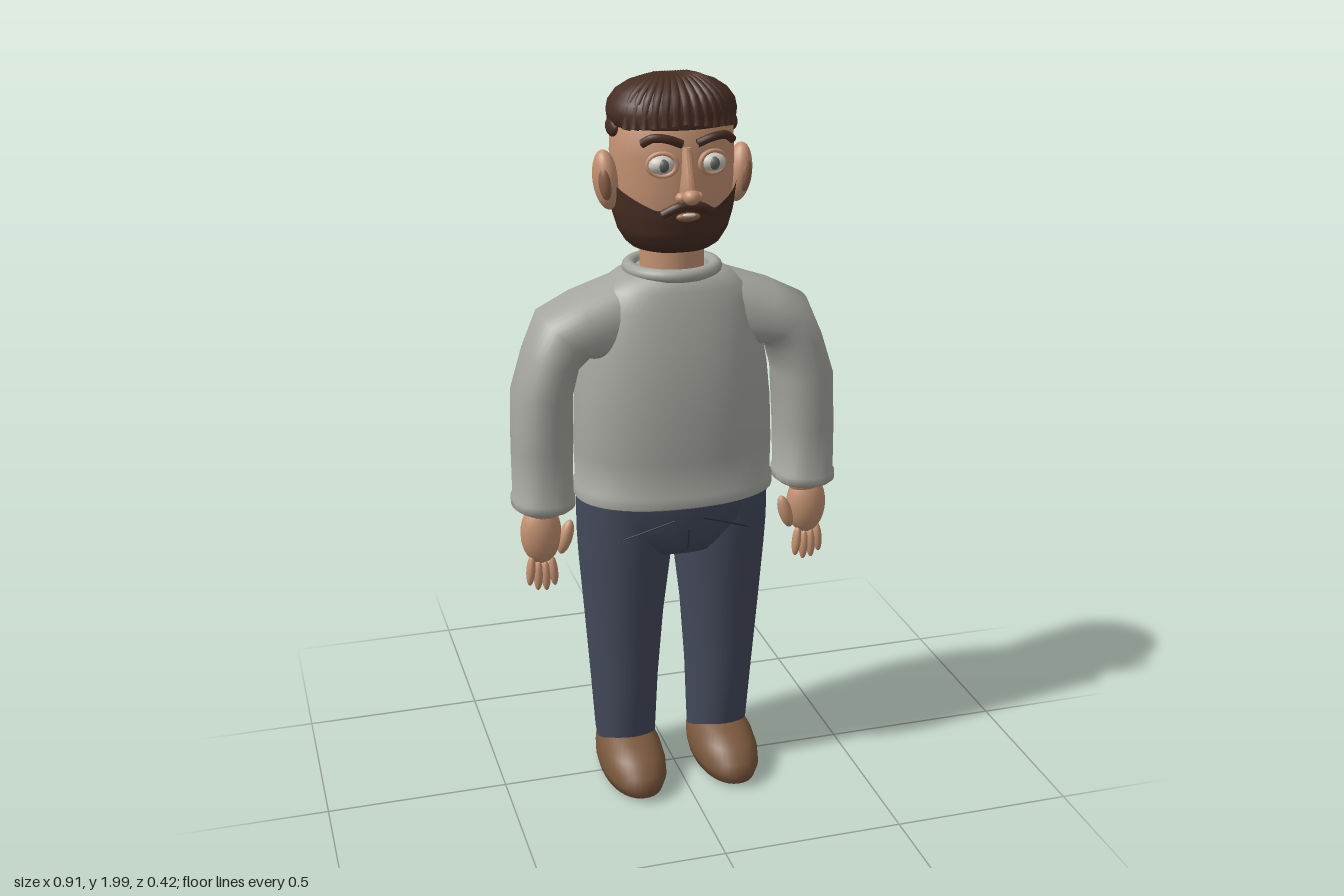
import * as THREE from 'three';
import { toCreasedNormals } from 'three/addons/utils/BufferGeometryUtils.js';

const mat = (name, color) => {
  const m = new THREE.MeshStandardMaterial({ color });
  m.name = name;
  return m;
};
const V = (x, y, z) => new THREE.Vector3(x, y, z);

// Closed skin over rings [xa, ya, xb, yb, zBack, zFront], listed from the bottom up
function loft(rings, power = 2, n = 40) {
  const pos = [], idx = [];
  const pw = (t) => Math.sign(t) * Math.abs(t) ** (2 / power);
  for (const [xa, ya, xb, yb, z0, z1] of rings) {
    for (let j = 0; j < n; j++) {
      const a = (j / n) * Math.PI * 2, c = pw(Math.cos(a)), s = pw(Math.sin(a));
      pos.push((xa + xb) / 2 + c * (xb - xa) / 2, (ya + yb) / 2 + c * (yb - ya) / 2, (z0 + z1) / 2 + s * (z1 - z0) / 2);
    }
  }
  for (let i = 0; i < rings.length - 1; i++) {
    for (let j = 0; j < n; j++) {
      const a = i * n + j, b = i * n + (j + 1) % n;
      idx.push(a, a + n, b, b, a + n, b + n);
    }
  }
  const last = rings.length - 1;
  for (const i of [0, last]) {
    const [xa, ya, xb, yb, z0, z1] = rings[i], k = pos.length / 3;
    pos.push((xa + xb) / 2, (ya + yb) / 2, (z0 + z1) / 2);
    for (let j = 0; j < n; j++) {
      const a = i * n + j, b = i * n + (j + 1) % n;
      idx.push(...(i === 0 ? [k, a, b] : [k, b, a]));
    }
  }
  const g = new THREE.BufferGeometry();
  g.setAttribute('position', new THREE.Float32BufferAttribute(pos, 3));
  g.setIndex(idx);
  return toCreasedNormals(g, 0.9);
}
// Symmetric ring: [y, halfWidth, zBack, zFront]
const sym = (rows) => rows.map(([y, w, b, f]) => [-w, y, w, y, b, f]);
const mirrorRings = (rings, s) => (s > 0 ? rings : rings.map(([xa, ya, xb, yb, b, f]) => [-xb, yb, -xa, ya, b, f]));

const HEAD = [
  [1.545, 0.09, -0.1, 0.06], [1.565, 0.115, -0.125, 0.095], [1.6, 0.137, -0.14, 0.112], [1.65, 0.152, -0.152, 0.12],
  [1.72, 0.161, -0.159, 0.122], [1.8, 0.163, -0.162, 0.122], [1.87, 0.16, -0.16, 0.118], [1.93, 0.13, -0.13, 0.085], [1.96, 0.07, -0.07, 0.04],
];
// Half width, centre and half depth of the head at a height
function headAt(y) {
  let i = 0;
  while (i < HEAD.length - 2 && HEAD[i + 1][0] < y) i++;
  const t = THREE.MathUtils.clamp((y - HEAD[i][0]) / (HEAD[i + 1][0] - HEAD[i][0]), 0, 1);
  const [, w, b, f] = HEAD[i].map((v, k) => v + (HEAD[i + 1][k] - v) * t);
  return { w, c: (b + f) / 2, d: (f - b) / 2 };
}
// Beard shell hugging the lower front of the head
function beardGeometry() {
  const g = new THREE.PlaneGeometry(1, 1, 48, 14), p = g.attributes.position;
  for (let i = 0; i < p.count; i++) {
    const a = p.getX(i) * 2 * 1.66, v = p.getY(i) + 0.5, k = Math.abs(a);
    const top = k < 0.5 ? 1.69 - 0.02 * k / 0.5 : 1.67 + 0.08 * (k - 0.5) / 1.16;
    const y = 1.54 + (top - 1.54) * v, h = headAt(y);
    const off = v < 0.01 ? -0.02 : 0.012;
    p.setXYZ(i, Math.sin(a) * (h.w + off * 0.7), y, h.c + Math.cos(a) * (h.d + off));
  }
  g.computeVertexNormals();
  return g;
}

export function createModel() {
  const root = new THREE.Group();
  const skin = mat('skin', 0xc49272), darkSkin = mat('dark skin', 0x8f6249), wool = mat('grey wool', 0xa5a59f);
  const denim = mat('navy denim', 0x444a5c), seam = mat('seam navy', 0x262a36), leather = mat('brown leather', 0x7a583c);
  const hair = mat('dark brown hair', 0x472d23), white = mat('eye white', 0xcfcac0), iris = mat('grey iris', 0x5f6662);
  hair.side = THREE.DoubleSide;

  const add = (name, geo, m, parent = root) => {
    const mesh = new THREE.Mesh(geo, m);
    mesh.name = name;
    parent.add(mesh);
    return mesh;
  };
  const ball = (name, m, p, r, tilt = 0) => {
    const b = add(name, new THREE.SphereGeometry(1, 24, 16), m);
    b.position.set(...p);
    b.scale.set(...r);
    b.rotation.z = tilt;
    return b;
  };
  const tube = (name, m, pts, r) =>
    add(name, new THREE.TubeGeometry(new THREE.CatmullRomCurve3(pts.map((q) => V(...q))), 12, r, 8), m);

  // Sweater body with hem, and collar
  add('sweaterBody', loft(sym([
    [0.865, 0.262, -0.18, 0.158], [0.872, 0.277, -0.193, 0.17], [0.9, 0.277, -0.195, 0.172], [0.908, 0.27, -0.192, 0.168],
    [1.0, 0.272, -0.2, 0.171], [1.12, 0.268, -0.206, 0.17], [1.22, 0.258, -0.202, 0.163], [1.32, 0.24, -0.188, 0.148],
    [1.4, 0.222, -0.168, 0.128], [1.45, 0.195, -0.152, 0.113], [1.48, 0.15, -0.135, 0.1], [1.492, 0.11, -0.115, 0.08],
  ]), 2.3, 56), wool);
  const collar = add('collar', new THREE.TorusGeometry(0.115, 0.018, 12, 40), wool);
  collar.rotation.x = Math.PI / 2;
  collar.position.set(0, 1.492, -0.018);

  // Hips, fly seam
  add('hips', loft(sym([
    [0.7, 0.1, -0.09, 0.07], [0.712, 0.135, -0.135, 0.105], [0.75, 0.17, -0.172, 0.132],
    [0.8, 0.235, -0.186, 0.145], [0.88, 0.258, -0.186, 0.15],
  ]), 2.3), denim);
  tube('flySeam', seam, [[0, 0.8, 0.149], [0, 0.77, 0.143], [0, 0.74, 0.134]], 0.002);

  for (const s of [1, -1]) {
    const side = s > 0 ? 'left' : 'right';
    // Sleeve with cuff
    add(side + 'Sleeve', loft(mirrorRings([
      [0.295, 0.862, 0.445, 0.862, -0.075, 0.102], [0.285, 0.87, 0.455, 0.87, -0.083, 0.11], [0.285, 0.89, 0.455, 0.89, -0.083, 0.11],
      [0.29, 0.897, 0.45, 0.897, -0.082, 0.107], [0.288, 1.03, 0.449, 1.03, -0.095, 0.109], [0.283, 1.18, 0.443, 1.18, -0.112, 0.11],
      [0.265, 1.25, 0.408, 1.29, -0.12, 0.109], [0.235, 1.27, 0.365, 1.39, -0.13, 0.108], [0.2, 1.26, 0.27, 1.437, -0.14, 0.106],
      [0.15, 1.25, 0.16, 1.474, -0.14, 0.09],
    ], s), 2.3), wool);

    // Hand, thumb and fingers
    ball(side + 'Palm', skin, [s * 0.38, 0.785, 0.022], [0.056, 0.088, 0.046]);
    ball(side + 'Wrist', skin, [s * 0.375, 0.86, 0.018], [0.05, 0.05, 0.045]);
    ball(side + 'Thumb', skin, [s * 0.315, 0.77, 0.035], [0.019, 0.05, 0.019], s * 0.3);
    [[0.413, 0.682], [0.393, 0.666], [0.372, 0.663], [0.351, 0.675]].forEach(([x, y], i) =>
      ball(side + 'Finger' + (i + 1), skin, [s * x, y, 0.034], [0.0125, 0.045, 0.015], s * (x - 0.38) * 3));

    // Trouser leg and pocket seam
    add(side + 'TrouserLeg', loft(mirrorRings([
      [0.055, 0.07, 0.215, 0.07, -0.115, 0.055], [0.052, 0.13, 0.223, 0.13, -0.134, 0.07], [0.045, 0.3, 0.235, 0.3, -0.14, 0.083],
      [0.03, 0.5, 0.25, 0.5, -0.15, 0.1], [0.008, 0.68, 0.264, 0.68, -0.16, 0.113], [0.005, 0.76, 0.268, 0.76, -0.165, 0.12],
      [0.02, 0.88, 0.268, 0.88, -0.16, 0.12],
    ], s)), denim);
    tube(side + 'PocketSeam', seam, [[s * 0.04, 0.83, 0.15], [s * 0.12, 0.8, 0.133], [s * 0.185, 0.77, 0.108]], 0.002);

    // Shoe with raised heel
    add(side + 'Shoe', loft(mirrorRings([
      [0.075, 0.004, 0.2, 0.004, -0.135, 0.165], [0.055, 0.015, 0.22, 0.015, -0.148, 0.197], [0.047, 0.045, 0.228, 0.045, -0.152, 0.21],
      [0.047, 0.075, 0.228, 0.075, -0.152, 0.198], [0.053, 0.105, 0.222, 0.105, -0.151, 0.163], [0.07, 0.13, 0.205, 0.13, -0.15, 0.11],
      [0.085, 0.143, 0.19, 0.143, -0.149, 0.06], [0.095, 0.165, 0.18, 0.165, -0.148, -0.06], [0.115, 0.185, 0.16, 0.185, -0.143, -0.11],
    ], s), 2.2), leather);

    // Ear
    ball(side + 'Ear', skin, [s * 0.178, 1.732, -0.008], [0.034, 0.078, 0.044], -s * 0.12);
    ball(side + 'EarHollow', darkSkin, [s * 0.186, 1.728, 0.018], [0.018, 0.045, 0.022], -s * 0.12);

    // Eye with lid rim, iris and brow
    ball(side + 'Eye', white, [s * 0.066, 1.79, 0.115], [0.036, 0.026, 0.032]);
    ball(side + 'Iris', iris, [s * 0.066, 1.79, 0.133], [0.017, 0.018, 0.017]);
    const lid = add(side + 'Eyelid', new THREE.TorusGeometry(0.036, 0.007, 8, 28), skin);
    lid.position.set(s * 0.066, 1.79, 0.125);
    lid.scale.y = 0.8;
    lid.rotation.y = s * 0.25;
    const brow = tube(side + 'Eyebrow', hair, [[s * 0.02, 1.843, 0.143], [s * 0.06, 1.858, 0.146], [s * 0.095, 1.86, 0.138], [s * 0.118, 1.845, 0.122]], 0.011);
    brow.name = side + 'Eyebrow';

    // Sideburn tuft, moustache half, nostril
    ball(side + 'HairTuft', hair, [s * 0.155, 1.865, -0.02], [0.018, 0.026, 0.042]);
    tube(side + 'Moustache', hair, [[0, 1.686, 0.136], [s * 0.03, 1.682, 0.136], [s * 0.065, 1.662, 0.122]], 0.012);
    ball(side + 'Nostril', skin, [s * 0.022, 1.708, 0.142], [0.014, 0.013, 0.016]);
  }

  // Neck and head
  const neck = add('neck', new THREE.CylinderGeometry(0.085, 0.085, 0.14, 32), skin);
  neck.position.set(0, 1.53, -0.018);
  add('head', loft(sym(HEAD), 2, 48), skin);

  // Nose and mouth
  add('noseBridge', loft(sym([
    [1.7, 0.018, 0.1, 0.165], [1.72, 0.022, 0.1, 0.172], [1.77, 0.015, 0.1, 0.152], [1.83, 0.013, 0.1, 0.13],
  ]), 2, 16), skin);
  ball('noseTip', skin, [0, 1.712, 0.16], [0.022, 0.02, 0.023]);
  ball('lips', darkSkin, [0, 1.655, 0.132], [0.032, 0.012, 0.012]);
  ball('teeth', white, [0, 1.661, 0.139], [0.018, 0.005, 0.007]);

  // Beard and hair cap
  add('beard', beardGeometry(), hair);
  add('hairCap', loft(sym([
    [1.868, 0.158, -0.158, 0.11], [1.874, 0.166, -0.165, 0.122], [1.905, 0.17, -0.168, 0.124], [1.93, 0.165, -0.162, 0.116],
    [1.955, 0.146, -0.145, 0.098], [1.975, 0.115, -0.115, 0.072], [1.988, 0.075, -0.08, 0.04], [1.993, 0.03, -0.045, 0],
  ]), 2, 48), hair);
  // Fringe strands fanning forward from the crown
  for (let i = -6; i <= 6; i++) {
    const a = i * 0.17, sx = Math.sin(a), cz = Math.cos(a);
    tube('fringeStrand', hair, [
      [i * 0.007, 1.985, -0.035], [sx * 0.085, 1.98, -0.01 + cz * 0.055],
      [sx * 0.142, 1.94, -0.02 + cz * 0.125], [sx * 0.163, 1.885 - Math.abs(sx) * 0.02, -0.02 + cz * 0.14],
    ], 0.012);
  }
  return root;
}
